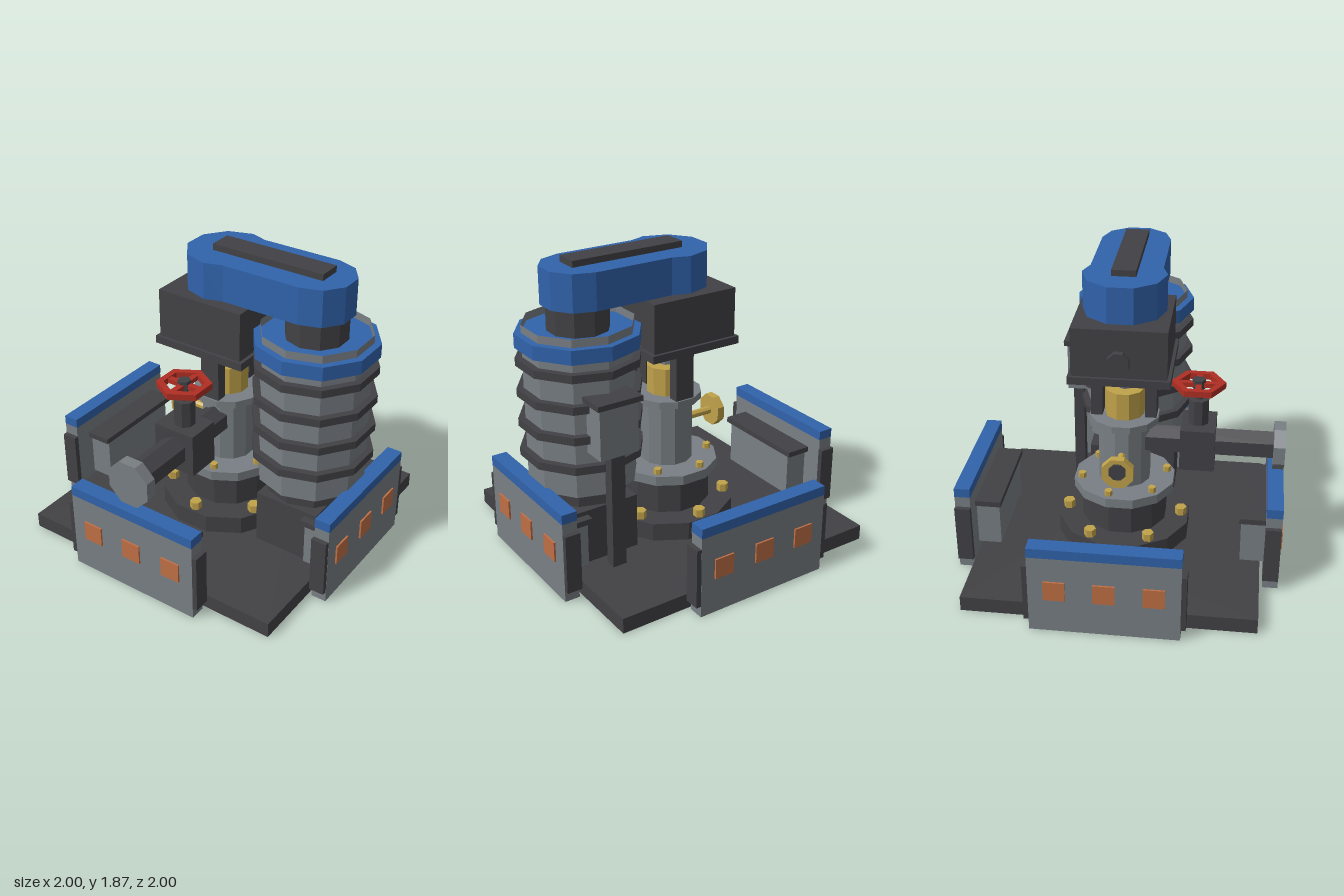
import * as THREE from 'three';

const paint = (name, color) => {
  const m = new THREE.MeshStandardMaterial({ color });
  m.name = name;
  return m;
};

export function createModel() {
  const dark = paint('charcoal', 0x424145);
  const grey = paint('steel grey', 0x797f84);
  const blue = paint('machine blue', 0x3063ab);
  const brass = paint('brass', 0xc0a24a);
  const red = paint('valve red', 0xb02e23);
  const orange = paint('copper orange', 0xbf6f45);
  grey.side = THREE.DoubleSide; // the motor collar and wall skirts are open

  const model = new THREE.Group();
  model.name = 'pumpStation';
  const group = (name, parent = model) => {
    const g = new THREE.Group();
    g.name = name;
    parent.add(g);
    return g;
  };
  // every part is faceted
  const add = (parent, name, geometry, material) => {
    const geo = geometry.index ? geometry.toNonIndexed() : geometry;
    geo.computeVertexNormals();
    const mesh = new THREE.Mesh(geo, material);
    mesh.name = name;
    parent.add(mesh);
    return mesh;
  };
  // box given by its limits on each axis
  const box = (parent, name, mat, [x0, x1], [y0, y1], [z0, z1]) =>
    add(parent, name, new THREE.BoxGeometry(x1 - x0, y1 - y0, z1 - z0)
      .translate((x0 + x1) / 2, (y0 + y1) / 2, (z0 + z1) / 2), mat);
  // upright prism with n sides
  const drum = (parent, name, mat, r, y0, y1, n, x = 0, z = 0, turn = 0, open = false) =>
    add(parent, name, new THREE.CylinderGeometry(r, r, y1 - y0, n, 1, open)
      .rotateY(turn).translate(x, (y0 + y1) / 2, z), mat);
  // plan outline raised from y0 to y1, with an optional hole
  const slab = (parent, name, mat, outline, y0, y1, hole) => {
    const shape = new THREE.Shape(outline);
    if (hole) shape.holes.push(new THREE.Path(hole));
    return add(parent, name, new THREE.ExtrudeGeometry(shape, { depth: y1 - y0, bevelEnabled: false })
      .rotateX(-Math.PI / 2).translate(0, y0, 0), mat);
  };
  const polygon = (r, n, turn = 0, x = 0, y = 0) => Array.from({ length: n }, (_, i) => {
    const a = turn + i * 2 * Math.PI / n;
    return new THREE.Vector2(x + r * Math.cos(a), y + r * Math.sin(a));
  });

  // base plate with the bore opening underneath
  const p = 0.873;
  slab(model, 'basePlate', dark, polygon(p * Math.SQRT2, 4, Math.PI / 4), 0, 0.095,
    polygon(0.42, 12, Math.PI / 12));

  // four guard walls around the base, each a hollow panel open at the foot
  for (let i = 0; i < 4; i++) {
    const wall = group('guardWall');
    wall.rotation.y = i * Math.PI / 2;
    add(wall, 'wallPanel', new THREE.CylinderGeometry(Math.SQRT1_2, Math.SQRT1_2, 0.505, 4, 1, true)
      .rotateY(Math.PI / 4).scale(0.874, 1, 0.094).translate(0, 0.2525, 0.942), grey);
    box(wall, 'panelFloor', grey, [-0.434, 0.434], [0.08, 0.09], [0.897, 0.987]);
    box(wall, 'wallCap', blue, [-0.437, 0.437], [0.503, 0.563], [0.893, 0.99]);
    for (const s of [-1, 1])
      box(wall, 'endPost', dark, s < 0 ? [-0.467, -0.435] : [0.435, 0.467], [0.07, 0.437], [0.892, 0.988]);
    box(wall, 'innerCabinet', grey, [-0.3, 0.3], [0.095, 0.38], [0.75, 0.895]);
    box(wall, 'innerLedge', dark, [-0.33, 0.33], [0.378, 0.413], [0.735, 0.895]);
    for (const x of [-0.284, 0, 0.284])
      box(wall, 'window', orange, [x - 0.063, x + 0.063], [0.223, 0.347], [0.9905, 1]);
    for (const x of [-0.284, 0, 0.284])
      box(wall, 'windowSeat', orange, [x - 0.063, x + 0.063], [0.223, 0.347], [0.982, 0.9905]);
  }

  // central well head, stacked from the base up
  const well = group('wellHead');
  const t = Math.PI / 12;
  drum(well, 'lowerFlange', dark, 0.42, 0.09, 0.21, 12, 0, 0, t);
  drum(well, 'lowerBarrel', dark, 0.27, 0.21, 0.42, 12, 0, 0, t);
  drum(well, 'middleFlange', grey, 0.32, 0.42, 0.48, 12, 0, 0, t);
  drum(well, 'upperBarrel', grey, 0.162, 0.48, 0.883, 12, 0, 0, t);
  drum(well, 'topFlange', grey, 0.217, 0.883, 0.927, 12, 0, 0, t);
  drum(well, 'packingGland', brass, 0.122, 0.927, 1.1, 10);
  drum(well, 'driveShaft', grey, 0.04, 1.1, 1.27, 8);
  for (let i = 0; i < 6; i++) {
    const a = i * Math.PI / 3, b = a + t;
    drum(well, 'lowerBolt', brass, 0.037, 0.21, 0.26, 6, 0.36 * Math.sin(a), 0.36 * Math.cos(a));
    drum(well, 'middleBolt', brass, 0.025, 0.48, 0.515, 6, 0.27 * Math.cos(b), 0.27 * Math.sin(b));
  }
  // yoke legs carrying the gearbox, in front of and behind the gland
  for (const z of [-0.165, 0.165])
    box(well, 'yokeLeg', dark, [-0.062, 0.062], [0.92, 1.26], [z - 0.035, z + 0.035]);

  // outlet pipe to the front with its valve
  const outlet = group('outlet');
  const along = (name, mat, r, z0, z1, n, turn) =>
    add(outlet, name, new THREE.CylinderGeometry(r, r, z1 - z0, n).rotateY(turn)
      .rotateX(Math.PI / 2).translate(0, 0.753, (z0 + z1) / 2), mat);
  along('outletPipe', dark, 0.093, 0.1, 0.92, 6, 0);
  along('outletFlange', grey, 0.148, 0.915, 0.985, 8, Math.PI / 8);
  box(outlet, 'valveBody', dark, [-0.137, 0.137], [0.618, 0.888], [0.35, 0.562]);
  drum(outlet, 'valveBonnet', dark, 0.065, 0.888, 1.05, 8, 0, 0.452, Math.PI / 8);
  drum(outlet, 'valveStem', dark, 0.027, 1.05, 1.165, 8, 0, 0.452, Math.PI / 8);

  // hexagonal handwheel
  const wheel = group('handwheel', outlet);
  wheel.position.set(0, 0, 0.448);
  slab(wheel, 'wheelRim', red, polygon(0.163, 6, Math.PI / 6), 1.122, 1.16, polygon(0.12, 6, Math.PI / 6));
  box(wheel, 'crossSpoke', red, [-0.115, 0.115], [1.127, 1.155], [-0.018, 0.018]);
  box(wheel, 'longSpoke', red, [-0.018, 0.018], [1.127, 1.155], [-0.13, 0.13]);
  drum(wheel, 'wheelHub', dark, 0.04, 1.115, 1.176, 6);

  // pressure gauge on the model's right
  const gauge = group('pressureGauge');
  const sideways = (parent, name, mat, r, x0, x1, y, n) =>
    add(parent, name, new THREE.CylinderGeometry(r, r, x1 - x0, n).rotateY(Math.PI / n)
      .rotateZ(Math.PI / 2).translate((x0 + x1) / 2, y, 0), mat);
  sideways(gauge, 'gaugePipe', brass, 0.024, -0.34, -0.14, 0.7, 8);
  sideways(gauge, 'gaugeCase', brass, 0.102, -0.378, -0.33, 0.703, 8);
  sideways(gauge, 'gaugeFace', dark, 0.055, -0.39, -0.376, 0.72, 8);

  // finned motor on its pedestal
  const motor = group('motor');
  const mx = 0.6;
  box(motor, 'motorBlock', dark, [0.4, 0.81], [0.09, 0.44], [-0.28, 0.28]);
  drum(motor, 'motorPedestal', dark, 0.268, 0.44, 0.54, 10, mx);
  drum(motor, 'motorBody', grey, 0.328, 0.533, 1.4, 10, mx);
  for (const y of [0.722, 0.908, 1.095, 1.283])
    drum(motor, 'coolingFin', dark, 0.37, y - 0.024, y + 0.024, 10, mx);
  drum(motor, 'motorBand', blue, 0.37, 1.367, 1.452, 10, mx);
  drum(motor, 'motorCollar', grey, 0.328, 1.452, 1.5, 10, mx, 0, 0, true);
  drum(motor, 'motorNeck', dark, 0.185, 1.45, 1.61, 10, mx);

  // control box on a post behind the motor
  const control = group('controlBox');
  box(control, 'controlPost', dark, [0.56, 0.65], [0.09, 0.83], [-0.413, -0.345]);
  box(control, 'controlCase', grey, [0.48, 0.73], [0.818, 1.13], [-0.435, -0.29]);
  box(control, 'controlLid', dark, [0.46, 0.75], [1.13, 1.163], [-0.455, -0.285]);

  // gearbox above the well head
  const gearbox = group('gearbox');
  box(gearbox, 'gearboxTray', dark, [-0.317, 0.29], [1.253, 1.3], [-0.3, 0.3]);
  box(gearbox, 'gearboxCase', dark, [-0.298, 0.268], [1.3, 1.598], [-0.28, 0.28]);
  sideways(gearbox, 'gearboxPlug', dark, 0.068, -0.337, -0.29, 1.405, 8);
  drum(gearbox, 'gearboxShaft', dark, 0.15, 1.595, 1.612, 10);

  // belt guard: a large lobe over the well joined to a small one over the motor
  const big = polygon(0.25, 10, Math.PI / 2).slice(0, 6);
  const small = polygon(0.215, 10, -Math.PI / 2, mx).slice(0, 6);
  const bend = 0.105;
  const guard = [...big, new THREE.Vector2(bend, -0.215), ...small, new THREE.Vector2(bend, 0.215)];
  slab(model, 'beltGuard', blue, guard, 1.608, 1.83);
  box(model, 'beltGuardPlate', dark, [-0.062, 0.664], [1.825, 1.868], [-0.072, 0.072]);

  return model;
}
